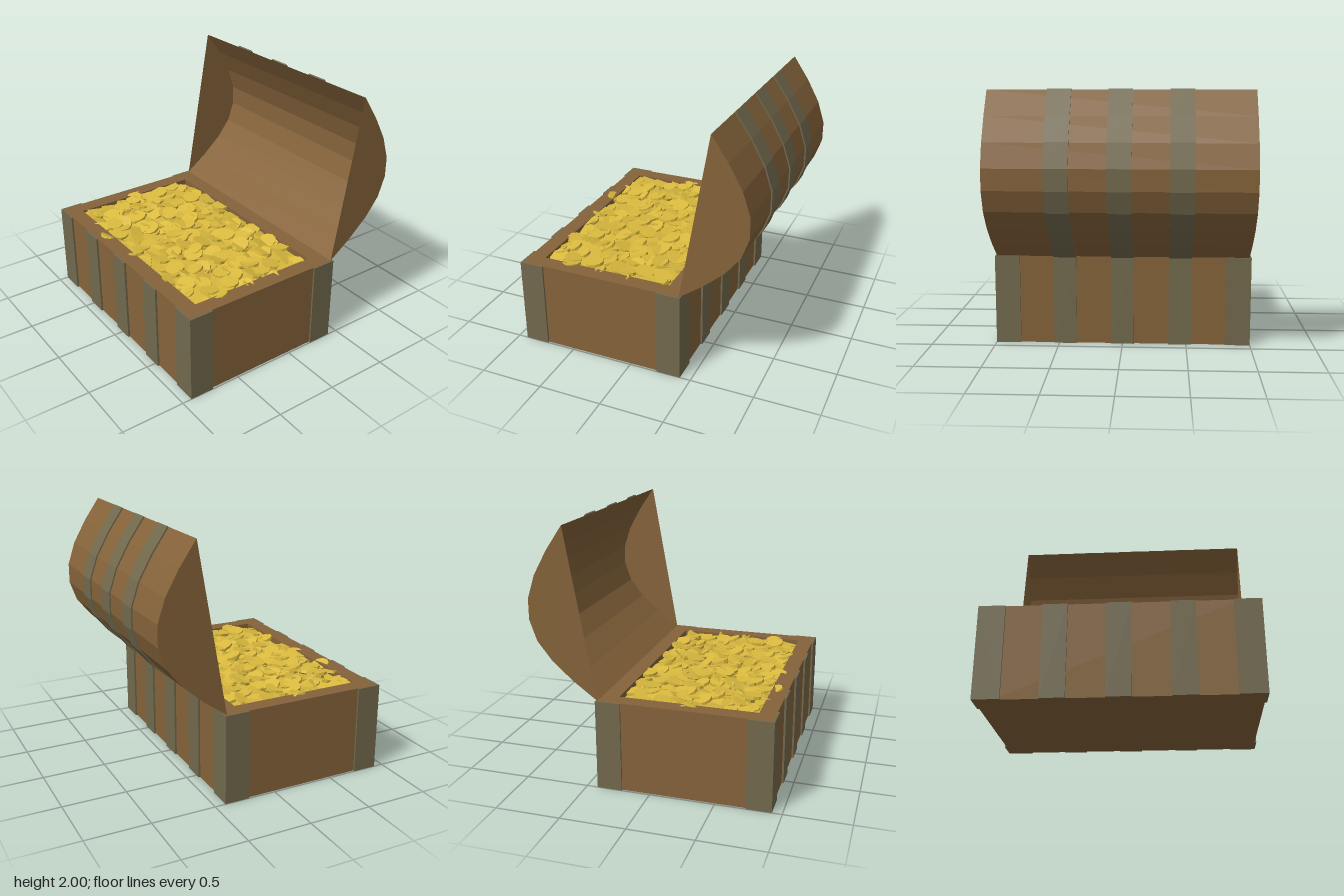
import * as THREE from 'three';

const mat = (color, side = THREE.FrontSide) =>
  new THREE.MeshStandardMaterial({ color, flatShading: true, side });
const wood = mat(0x85633a);
const woodThin = mat(0x85633a, THREE.DoubleSide);
const iron = mat(0x72694d);
const gold = mat(0xd9b93e);

// Chest body extents
const W = 0.985, H = 0.7, BACK = -0.4, FRONT = 0.91, WALL = 0.125, T = 0.015;
const MID = (FRONT + BACK) / 2;
const BANDS = [-0.45, 0, 0.45], BAND_W = 0.178;

function add(parent, name, geometry, material) {
  const mesh = new THREE.Mesh(geometry, material);
  mesh.name = name;
  parent.add(mesh);
  return mesh;
}

// Box given by its minimum and maximum corners
function box(parent, name, material, x0, x1, y0, y1, z0, z1) {
  const mesh = add(parent, name, new THREE.BoxGeometry(x1 - x0, y1 - y0, z1 - z0), material);
  mesh.position.set((x0 + x1) / 2, (y0 + y1) / 2, (z0 + z1) / 2);
  return mesh;
}

// Extrude a (z, y) outline across x, centred on x = 0
function acrossX(points, width) {
  const g = new THREE.ExtrudeGeometry(new THREE.Shape(points), { depth: width, bevelEnabled: false });
  return g.translate(0, 0, -width / 2).rotateY(-Math.PI / 2);
}

function createBody() {
  const body = new THREE.Group();
  body.name = 'body';
  // Four walls and floor
  for (const s of [-1, 1]) {
    const a = s * W, b = s * (W - WALL);
    box(body, 'sideWall', wood, Math.min(a, b), Math.max(a, b), 0, H, BACK, FRONT);
  }
  const inner = W - WALL;
  box(body, 'frontWall', wood, -inner, inner, 0, H, FRONT - WALL, FRONT);
  box(body, 'backWall', wood, -inner, inner, 0, H, BACK, BACK + WALL);
  box(body, 'floor', wood, -inner, inner, 0, 0.04, BACK + WALL, FRONT - WALL);

  // Upright bands on front and back
  for (const x of BANDS) {
    box(body, 'frontBand', iron, x - BAND_W / 2, x + BAND_W / 2, 0, H, FRONT, FRONT + T);
    box(body, 'backBand', iron, x - BAND_W / 2, x + BAND_W / 2, 0, H, BACK - T, BACK);
  }
  // L-shaped corner irons
  for (const sx of [-1, 1]) {
    for (const sz of [-1, 1]) {
      const x = sx * W, z = sz > 0 ? FRONT : BACK;
      const L = [
        [x + sx * T, z + sz * T], [sx * 0.805, z + sz * T], [sx * 0.805, z],
        [x, z], [x, z - sz * 0.178], [x + sx * T, z - sz * 0.178],
      ].map(([px, pz]) => new THREE.Vector2(px, -pz));
      const g = new THREE.ExtrudeGeometry(new THREE.Shape(L), { depth: H, bevelEnabled: false });
      add(body, 'cornerIron', g.rotateX(-Math.PI / 2), iron);
    }
  }
  return body;
}

function createLid() {
  const lid = new THREE.Group();
  lid.name = 'lid';
  // Curved profile in (z, y), hinge first
  const arc = [
    [-0.4, 0.7], [-0.585, 0.835], [-0.745, 0.975], [-0.86, 1.12], [-0.917, 1.28],
    [-0.917, 1.44], [-0.858, 1.62], [-0.755, 1.805], [-0.628, 1.99],
  ].map(([z, y]) => new THREE.Vector2(z, y));

  // Open curved shell
  const pos = [];
  for (let i = 0; i < arc.length - 1; i++) {
    const p = arc[i], q = arc[i + 1];
    pos.push(-W, p.x, p.y, -W, q.x, q.y, W, q.x, q.y);
    pos.push(-W, p.x, p.y, W, q.x, q.y, W, p.x, p.y);
  }
  const shell = new THREE.BufferGeometry();
  const xyz = [];
  for (let i = 0; i < pos.length; i += 3) xyz.push(pos[i], pos[i + 2], pos[i + 1]);
  shell.setAttribute('position', new THREE.Float32BufferAttribute(xyz, 3));
  shell.computeVertexNormals();
  add(lid, 'lidShell', shell, woodThin);

  // End panels
  for (const s of [-1, 1]) {
    const panel = new THREE.ShapeGeometry(new THREE.Shape(arc)).rotateY(-Math.PI / 2);
    add(lid, 'lidEnd', panel, woodThin).position.x = s * W;
  }

  // Bands following the curve
  const offset = (d) => arc.map((p, i) => {
    const a = arc[Math.max(i - 1, 0)], b = arc[Math.min(i + 1, arc.length - 1)];
    const t = b.clone().sub(a).normalize();
    return new THREE.Vector2(p.x - t.y * d, p.y + t.x * d);
  });
  const outline = [...offset(0.003), ...offset(0.014).reverse()];
  for (const x of BANDS) add(lid, 'lidBand', acrossX(outline, BAND_W), iron).position.x = x;
  return lid;
}

function createTreasure() {
  const treasure = new THREE.Group();
  treasure.name = 'treasure';
  const inner = W - WALL;
  box(treasure, 'goldFill', gold, -inner, inner, 0.05, 0.65, BACK + WALL, FRONT - WALL);

  let seed = 7;
  const rand = () => (seed = (seed * 16807) % 2147483647) / 2147483647;
  const coin = new THREE.CylinderGeometry(0.075, 0.075, 0.022, 10);
  // Loose coins on a jittered grid
  const cols = 17, rows = 12;
  for (let i = 0; i < cols; i++) {
    for (let j = 0; j < rows; j++) {
      const x = ((i + 0.5 + (rand() - 0.5) * 1.2) / cols - 0.5) * 1.74;
      const z = MID + 0.02 + ((j + 0.5 + (rand() - 0.5) * 1.2) / rows - 0.5) * 1.06;
      const mesh = add(treasure, 'coin', coin, gold);
      mesh.position.set(x, 0.655 + rand() * 0.033, z);
      mesh.rotation.set((rand() - 0.5) * 0.65, rand() * Math.PI, (rand() - 0.5) * 0.65);
    }
  }
  return treasure;
}

export function createModel() {
  const chest = new THREE.Group();
  chest.name = 'treasureChest';
  chest.add(createBody(), createLid(), createTreasure());
  return chest;
}
